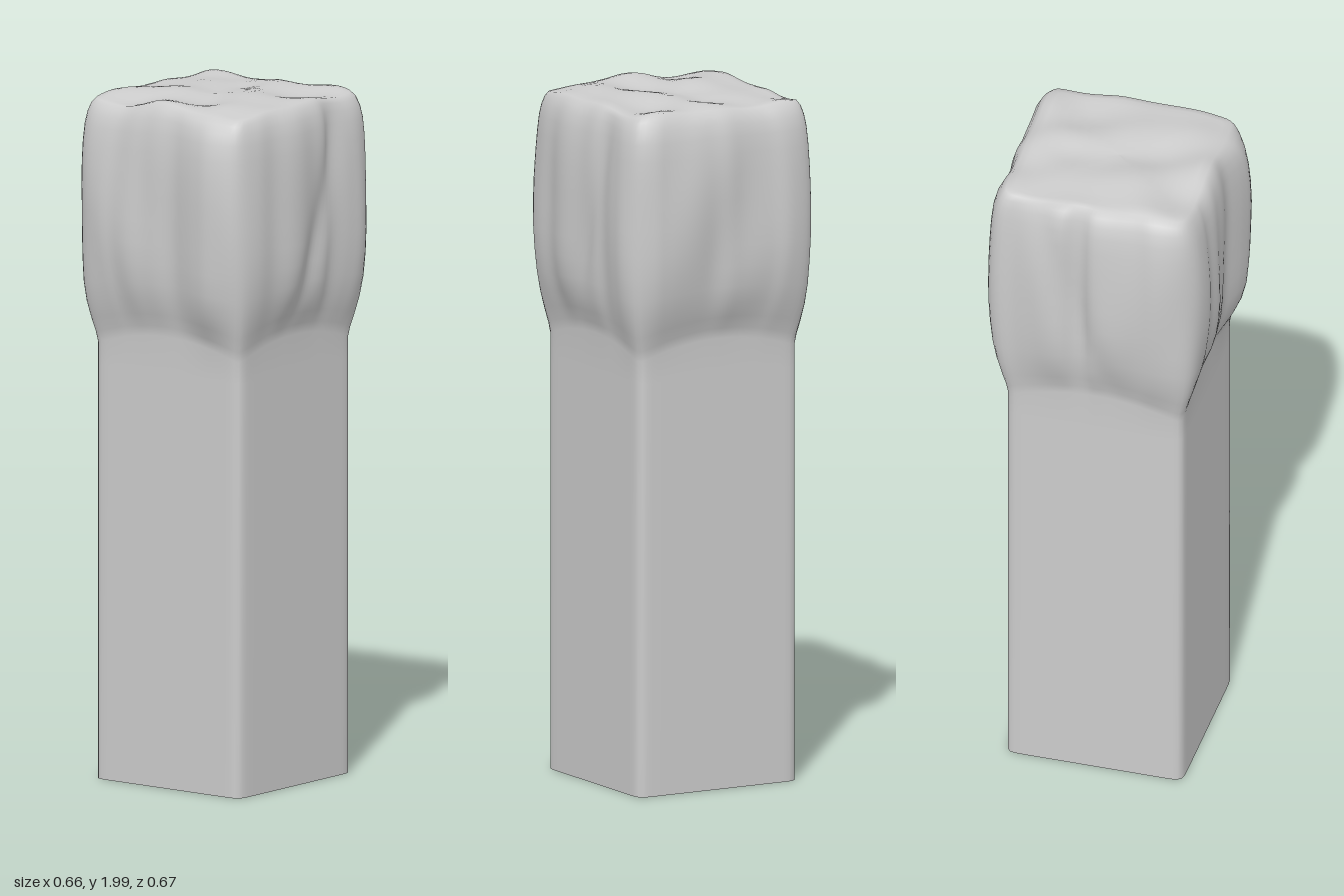
import * as THREE from 'three';

const SIDES = 160;
const CX = -0.004, CZ = -0.008, HALF = 0.262;

// Widest outline of the swollen head (x, z), counter-clockwise from above
const OUTLINE = [
  -0.265, 0.305, -0.2, 0.315, -0.16, 0.31, -0.1, 0.315, -0.05, 0.308, 0, 0.308, 0.06, 0.305,
  0.1, 0.315, 0.15, 0.33, 0.2, 0.337, 0.26, 0.31, 0.29, 0.275, 0.31, 0.22, 0.312, 0.15,
  0.327, 0.08, 0.328, 0.04, 0.315, -0.03, 0.31, -0.09, 0.298, -0.13, 0.308, -0.2, 0.312, -0.26,
  0.29, -0.305, 0.24, -0.335, 0.2, -0.337, 0.11, -0.337, 0, -0.338, -0.06, -0.33, -0.15, -0.33,
  -0.21, -0.338, -0.28, -0.315, -0.3, -0.28, -0.298, -0.25, -0.31, -0.2, -0.327, -0.14,
  -0.325, -0.1, -0.305, -0.06, -0.305, -0.035, -0.33, 0, -0.33, 0.08, -0.325, 0.14,
  -0.33, 0.19, -0.32, 0.24, -0.3, 0.275,
];

// Head profile: height and how far the section swells from post to outline
const PROFILE = [[1.26, 0], [1.29, 0.12], [1.33, 0.36], [1.38, 0.62], [1.44, 0.82], [1.51, 0.93],
  [1.58, 0.99], [1.65, 1], [1.72, 1], [1.79, 0.96], [1.85, 0.89], [1.9, 0.78], [1.935, 0.62],
  [1.96, 0.4], [1.975, 0.12]];

// Gentle lumps
const lumps = (x, y, z) =>
  Math.sin(17 * x + 5 * y + 1) * Math.sin(15 * z - 7 * y + 2) * 0.6 +
  Math.sin(31 * x - 11 * z + 9 * y) * 0.25 + Math.sin(27 * z + 12 * x - 6 * y) * 0.25;

// Skin a stack of closed rings, listed from the bottom up
function loft(rings, name, material) {
  const index = [];
  for (let r = 0; r < rings.length - 1; r++) {
    for (let j = 0; j < SIDES; j++) {
      const a = r * SIDES + j, b = r * SIDES + (j + 1) % SIDES;
      index.push(a, b, b + SIDES, a, b + SIDES, a + SIDES);
    }
  }
  const geometry = new THREE.BufferGeometry();
  geometry.setAttribute('position', new THREE.Float32BufferAttribute(rings.flat(2), 3));
  geometry.setIndex(index);
  geometry.computeVertexNormals();
  const mesh = new THREE.Mesh(geometry, material);
  mesh.name = name;
  return mesh;
}

export function createModel() {
  const group = new THREE.Group();
  group.name = 'post';
  const material = new THREE.MeshStandardMaterial({ color: 0xcccccc, roughness: 0.8 });

  const points = [];
  for (let i = 0; i < OUTLINE.length; i += 2) points.push(new THREE.Vector3(OUTLINE[i], 0, OUTLINE[i + 1]));
  const outer = new THREE.CatmullRomCurve3(points, true).getSpacedPoints(SIDES).slice(0, SIDES);

  // Square post section with slightly rounded corners, matched to the outline by angle
  const inner = outer.map((p) => {
    const dx = p.x - CX, dz = p.z - CZ, n = 22;
    const k = HALF / Math.pow(Math.abs(dx) ** n + Math.abs(dz) ** n, 1 / n);
    return new THREE.Vector3(dx * k, 0, dz * k);
  });
  const section = (y, s = 1) => inner.map((p) => [CX + p.x * s, y, CZ + p.z * s]);

  // Underside
  group.add(loft([section(0, 0), section(0, 1)], 'base', material));

  // Straight shaft continuing into the swollen head
  const rings = [section(0), section(0.6), section(1.2)];
  for (const [height, swell] of PROFILE) {
    rings.push(inner.map((p, j) => {
      // The swelling starts higher in the middle of each face than at the corners
      const along = Math.min(Math.abs(p.x), Math.abs(p.z)) / HALF;
      const lift = 0.05 * (1 - along * along) * THREE.MathUtils.clamp((1.6 - height) / 0.3, 0, 1);
      const x = CX + p.x, z = CZ + p.z, o = outer[j];
      const n = lumps(x, height, z);
      let k = swell * (1 + 0.14 * (n - 0.3));
      // Shallow folds: slanted across the right and left faces, upright on front and back
      const onSide = Math.abs(p.x) > Math.abs(p.z);
      const fold = onSide ? z + 0.13 - (1.9 - height) * 0.28 : x - 0.03;
      k -= swell * (onSide ? 0.25 : 0.14) * Math.exp(-((fold / 0.04) ** 2));
      const top = THREE.MathUtils.smoothstep(height, 1.85, 1.975);
      return [x + (o.x - x) * k, height + lift + top * 0.014 * n, z + (o.z - z) * k];
    }));
  }

  // Uneven top closing over to the middle
  for (const s of [0.94, 0.86, 0.76, 0.65, 0.54, 0.43, 0.32, 0.21, 0.1, 0]) {
    rings.push(section(1.978, s).map(([x, y, z]) => {
      const dent = 0.018 * Math.exp(-((x + 0.02) ** 2 + (z + 0.16) ** 2) / 0.004);
      return [x, Math.min(2, y + 0.016 * lumps(x, 1.975, z) + 0.006 * (1 - s) - dent), z];
    }));
  }
  group.add(loft(rings, 'shaftAndHead', material));
  return group;
}
